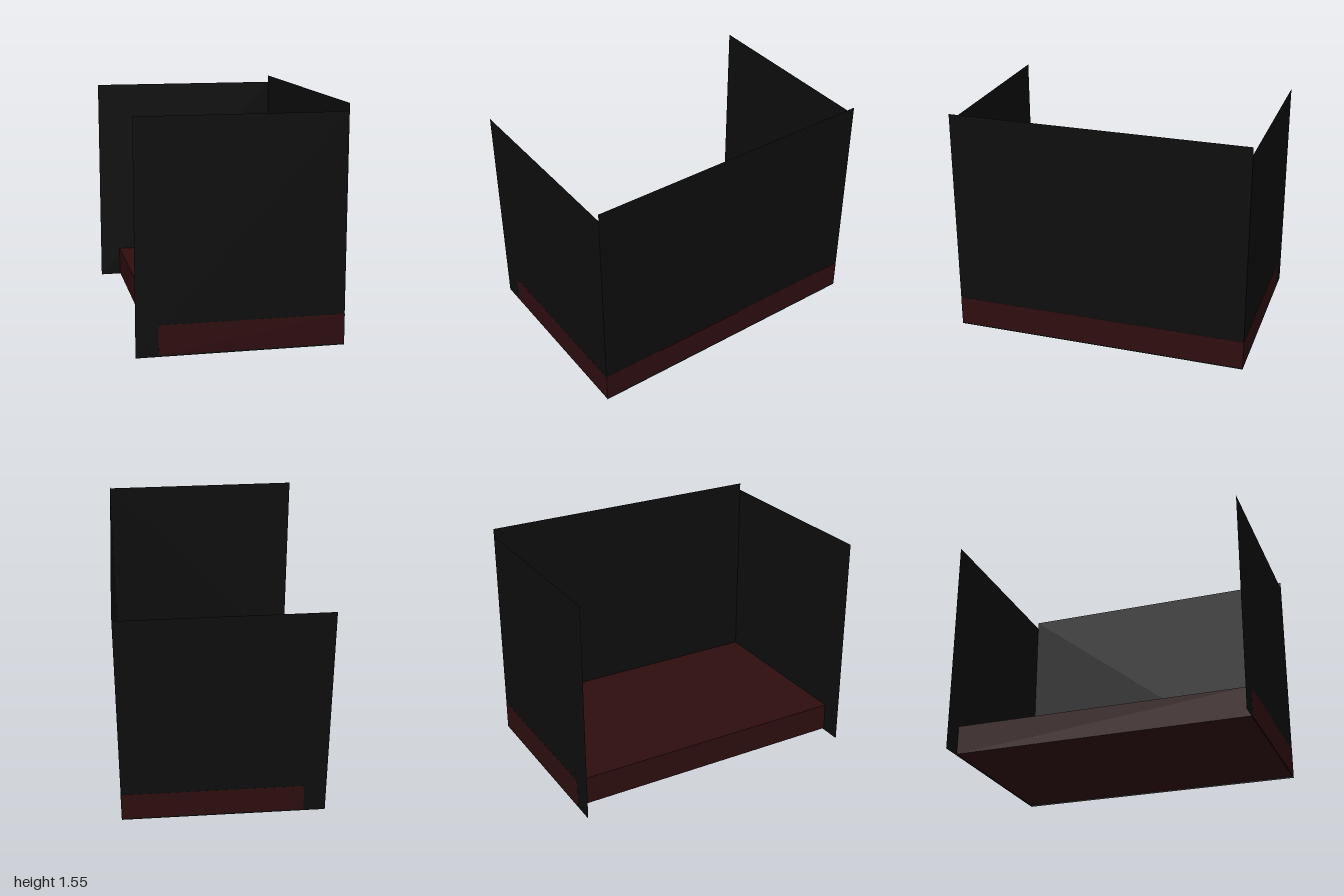
import * as THREE from 'three';

export function createModel() {
  const group = new THREE.Group();
  const black = new THREE.MeshStandardMaterial({ color: 0x0d0d0d, side: THREE.DoubleSide });
  black.name = 'black panel';
  const red = new THREE.MeshStandardMaterial({ color: 0x2d0d0f });
  red.name = 'dark red';

  const add = (name, geometry, material, x, y, z) => {
    const mesh = new THREE.Mesh(geometry, material);
    mesh.name = name;
    mesh.position.set(x, y, z);
    group.add(mesh);
    return mesh;
  };

  // Solid base slab, a hair proud of the panels so its edges stay visible
  add('base', new THREE.BoxGeometry(1.2, 0.195, 2), red, 0.073, 0.1075, 0);

  // Matching end panels, overhanging the open side of the base
  for (const [name, side] of [['frontPanel', 1], ['backPanel', -1]]) {
    add(name, new THREE.PlaneGeometry(1.344, 1.5), black, 0, 0.75, side * 0.999);
  }

  // Slightly taller panel closing the left side
  const sidePanel = add('sidePanel', new THREE.PlaneGeometry(2, 1.55), black, 0.672, 0.775, 0);
  sidePanel.rotation.y = Math.PI / 2;

  return group;
}
